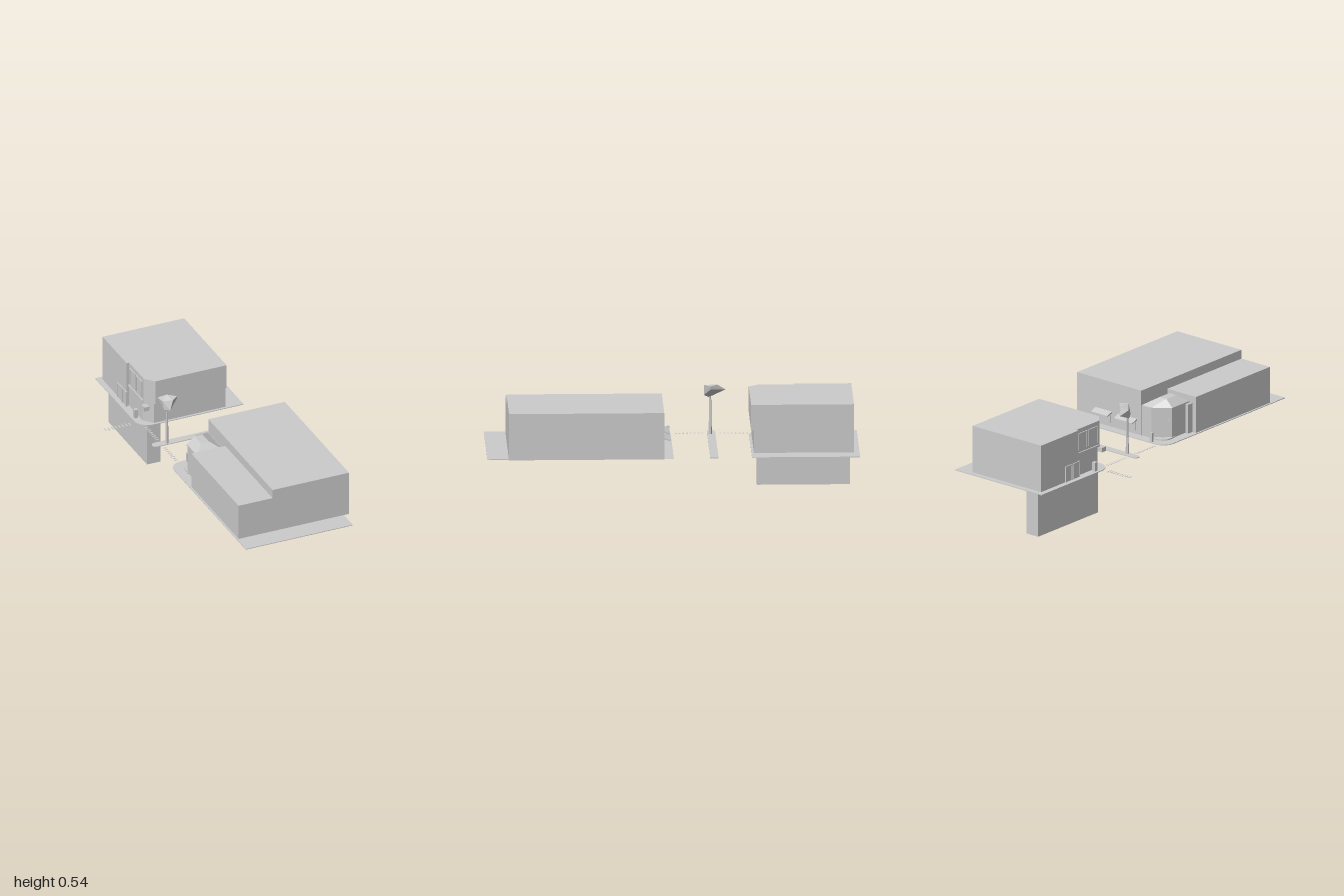
import * as THREE from 'three';
import { ConvexGeometry } from 'three/addons/geometries/ConvexGeometry.js';

const GROUND = 0.262, FLOOR = 0.265;
const mat = new THREE.MeshStandardMaterial({ color: 0xcccccc, flatShading: true, side: THREE.DoubleSide });

export function createModel() {
  const model = new THREE.Group();
  const add = (name, geo, parent = model) => {
    const mesh = new THREE.Mesh(geo, mat);
    mesh.name = name;
    parent.add(mesh);
    return mesh;
  };
  const group = (name) => {
    const g = new THREE.Group();
    g.name = name;
    model.add(g);
    return g;
  };
  // Box given by its limits
  const box = (name, x0, x1, y0, y1, z0, z1, parent) => {
    const g = new THREE.BoxGeometry(x1 - x0, y1 - y0, z1 - z0);
    g.translate((x0 + x1) / 2, (y0 + y1) / 2, (z0 + z1) / 2);
    return add(name, g, parent);
  };
  // Floor plan of [x, z] points raised from y0 to y1
  const prism = (name, plan, y0, y1, parent) => {
    const shape = new THREE.Shape(plan.map(([x, z]) => new THREE.Vector2(x, -z)));
    const g = new THREE.ExtrudeGeometry(shape, { depth: y1 - y0, bevelEnabled: false });
    g.rotateX(-Math.PI / 2).translate(0, y0, 0);
    return add(name, g, parent);
  };
  const arc = (cx, cz, r, a0, a1, n = 8) => Array.from({ length: n + 1 }, (_, i) => {
    const a = (a0 + (a1 - a0) * i / n) * Math.PI / 180;
    return [cx + r * Math.cos(a), cz + r * Math.sin(a)];
  });

  // Pavements, each with one rounded street corner, and the road divider
  prism('frontPavement', [[0.38, 1], [-0.25, 1], ...arc(-0.18, 0.07, 0.07, 180, 270), [0.38, 0]], GROUND - 0.001, FLOOR);
  prism('backPavement', [[0.38, -1], [-0.23, -1], ...arc(-0.15, -0.5, 0.08, 180, 90), [0.38, -0.42]], GROUND - 0.001, FLOOR);
  prism('roadDivider', [[0.38, -0.24], ...arc(-0.227, -0.218, 0.022, 270, 90), [0.38, -0.196]], GROUND - 0.001, FLOOR);

  // Crosswalk stripes
  const crossing = group('crosswalks');
  for (let i = 0; i < 8; i++) {
    const t = i * 0.0205;
    box('stripe', -0.41 + t, -0.402 + t, GROUND - 0.001, GROUND, -0.495, -0.465, crossing);
    box('stripe', -0.206, -0.186, GROUND - 0.001, GROUND, -0.415 + t, -0.407 + t, crossing);
    box('stripe', -0.206, -0.186, GROUND - 0.001, GROUND, -0.175 + t, -0.167 + t, crossing);
  }

  // Underground room
  box('undergroundRoom', -0.17, -0.09, 0, 0.253, -0.96, -0.46);

  // Front building: tall hall, lower wing and corner turret
  const front = group('frontBuilding');
  box('hall', -0.04, 0.41, FLOOR, 0.52, 0.052, 0.885, front);
  box('lowWing', -0.24, -0.04, FLOOR, 0.47, 0.27, 0.885, front);
  const eave = [[-0.2, 0.262], [-0.2, 0.12], [-0.11, 0.05], [-0.045, 0.05], [-0.045, 0.262]];
  prism('turretWalls', [[-0.195, 0.27], [-0.195, 0.123], [-0.108, 0.055], [-0.04, 0.055], [-0.04, 0.27]], FLOOR, 0.436, front);
  const roofPoints = eave.flatMap(([x, z]) => [new THREE.Vector3(x, 0.432, z), new THREE.Vector3(x, 0.44, z)]);
  for (const x of [-0.155, -0.108]) for (const z of [0.125, 0.205]) roofPoints.push(new THREE.Vector3(x, 0.48, z));
  add('turretRoof', new ConvexGeometry(roofPoints), front);
  box('sidePier', -0.215, -0.19, FLOOR, 0.43, 0.235, 0.27, front);
  prism('doorstep', [[-0.11, 0.05], [-0.11, 0.14], [-0.2, 0.14], ...arc(-0.15, 0.1, 0.05, 180, 270)], FLOOR, 0.271, front);

  // Entrance and window trims on the slanted turret wall
  const entrance = new THREE.Group();
  entrance.name = 'turretEntrance';
  entrance.position.set(-0.152, 0, 0.089);
  entrance.rotation.y = Math.atan2(0.068, 0.087);
  front.add(entrance);
  box('door', -0.022, 0.022, FLOOR, 0.335, -0.002, 0.003, entrance);
  for (const x of [-0.032, 0, 0.032]) box('windowTrim', x - 0.011, x + 0.011, 0.365, 0.369, -0.003, 0.003, entrance);

  // Shop windows with sloping awnings
  for (const [x0, x1] of [[-0.01, 0.12], [0.165, 0.28]]) {
    box('shopWindow', x0 + 0.01, x1 - 0.01, 0.285, 0.332, 0.049, 0.056, front);
    const side = [[0.052, 0.352], [0.012, 0.338], [0.012, 0.333], [0.052, 0.342]];
    add('awning', new ConvexGeometry([x0, x1].flatMap((x) => side.map(([z, y]) => new THREE.Vector3(x, y, z)))), front);
  }

  // Back building: upper floor overhangs the street floor, cut corner
  const back = group('backBuilding');
  const plan = (zf) => [[-0.2, -0.97], [0.28, -0.97], [0.28, zf], [-0.14, zf], [-0.185, zf - 0.05], [-0.185, -0.66], [-0.2, -0.66]];
  prism('streetFloor', plan(-0.433), FLOOR, 0.39, back);
  prism('upperFloor', plan(-0.418), 0.39, 0.53, back);
  box('cornerSign', -0.2, -0.17, 0.35, 0.375, -0.465, -0.43, back);

  // Framed openings on the street side
  const frame = (name, x, y0, y1, z0, z1) => {
    const t = 0.006;
    box(name, x - 0.002, x + 0.003, y0, y1, z0, z1, back);
    for (const z of [z0, z1 - t]) box(name + 'Frame', x - 0.006, x, y0, y1, z, z + t, back);
    box(name + 'Frame', x - 0.006, x, y1 - t, y1, z0, z1, back);
  };
  for (const z of [-0.77, -0.71]) frame('door', -0.2, FLOOR, 0.355, z, z + 0.058);
  for (const z of [-0.645, -0.56]) frame('window', -0.185, 0.41, 0.505, z, z + 0.075);
  box('ledge', -0.192, -0.182, 0.385, 0.395, -0.66, -0.47, back);

  // Street posts
  box('frontBollard', -0.152, -0.138, FLOOR, 0.316, 0.008, 0.022);
  box('backPostBox', -0.215, -0.195, FLOOR, 0.315, -0.54, -0.52);

  // Faceted tree on the divider
  const tree = group('tree');
  const trunk = new THREE.CylinderGeometry(0.005, 0.009, 0.225, 6);
  trunk.translate(-0.165, FLOOR + 0.1125, -0.212);
  add('trunk', trunk, tree);
  const crown = [
    [-0.145, 0.54, -0.178], [-0.105, 0.54, -0.21], [-0.15, 0.54, -0.25], [-0.183, 0.505, -0.295],
    [-0.185, 0.52, -0.225], [-0.105, 0.525, -0.215], [-0.165, 0.468, -0.205], [-0.18, 0.47, -0.215],
    [-0.16, 0.48, -0.178],
  ].map((p) => new THREE.Vector3(...p));
  add('crown', new ConvexGeometry(crown), tree);

  return model;
}
